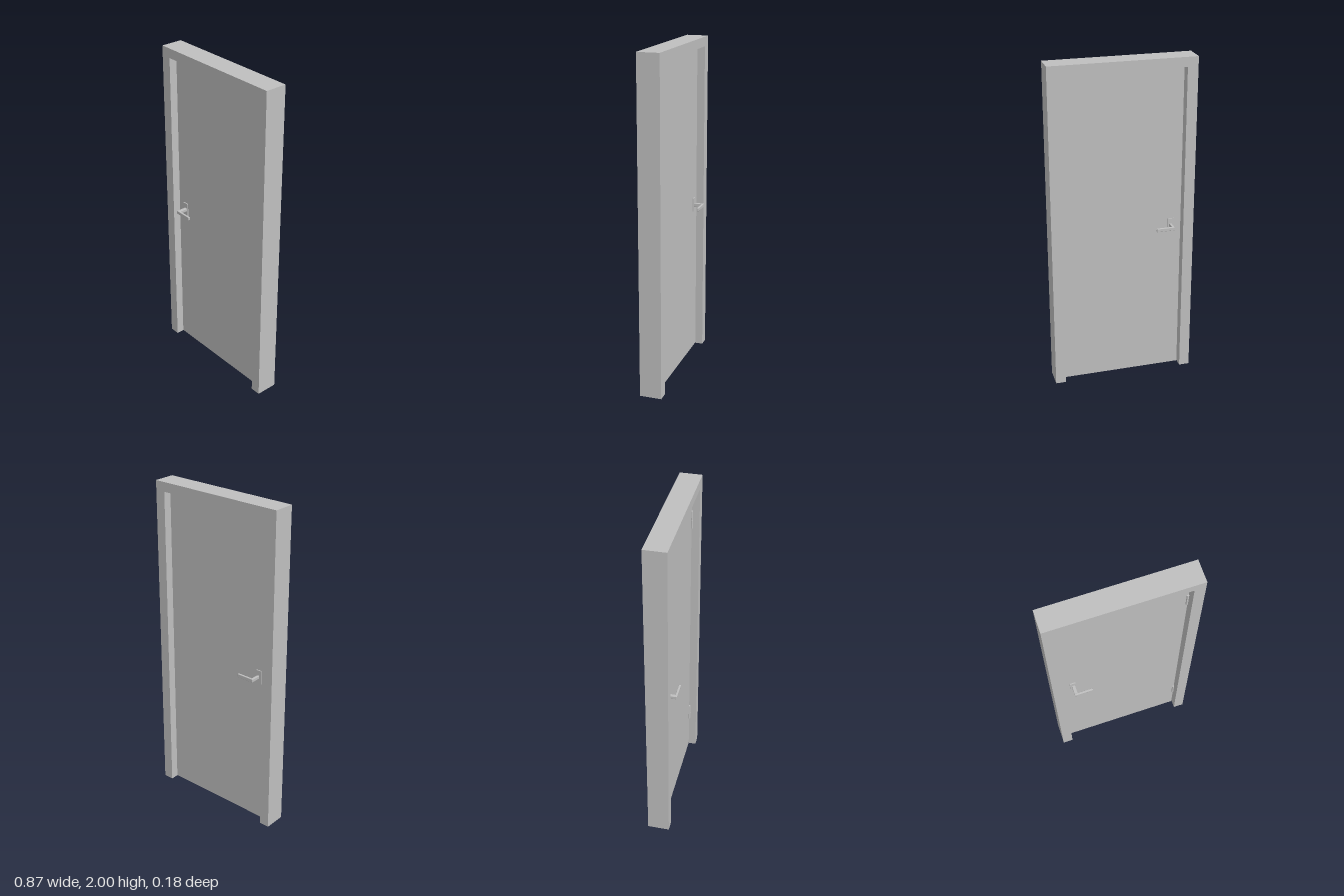
import * as THREE from 'three';
import { RoundedBoxGeometry } from 'three/addons/geometries/RoundedBoxGeometry.js';

export function createModel() {
  const model = new THREE.Group();
  model.name = 'door';

  const grey = new THREE.MeshStandardMaterial({ color: 0xbfbfbf });
  grey.name = 'grey';

  const add = (name, geometry, x, y, z, parent = model) => {
    const mesh = new THREE.Mesh(geometry, grey);
    mesh.name = name;
    mesh.position.set(x, y, z);
    parent.add(mesh);
    return mesh;
  };

  // Frame: one upside-down U, extruded through the wall depth
  const depth = 0.132, outer = 0.433, inner = 0.37, innerTop = 1.943;
  const outline = new THREE.Shape([
    [-outer, 0], [-inner, 0], [-inner, innerTop], [inner, innerTop],
    [inner, 0], [outer, 0], [outer, 2], [-outer, 2],
  ].map(([x, y]) => new THREE.Vector2(x, y)));
  add('frame', new THREE.ExtrudeGeometry(outline, { depth, bevelEnabled: false }), 0, 0, -depth / 2);

  // Door leaf, recessed equally on both sides, with a small gap all round
  const leafDepth = 0.04, leafBottom = 0.005, leafTop = 1.939;
  add('leaf', new THREE.BoxGeometry(0.733, leafTop - leafBottom, leafDepth),
    0, (leafTop + leafBottom) / 2, 0);

  // Handles: plate, neck and lever on each face
  const face = leafDepth / 2, tip = 0.088, leverDepth = 0.0125, handleY = 0.971;
  for (const side of [1, -1]) {
    const handle = new THREE.Group();
    handle.name = side > 0 ? 'frontHandle' : 'backHandle';
    model.add(handle);
    const neckWidth = side > 0 ? 0.02 : 0.015;
    const neckLeft = side > 0 ? -0.312 : -0.31;
    const neckDepth = tip - 0.003 - face;
    add('plate', new THREE.BoxGeometry(0.037, 0.085, 0.006),
      -0.3045, handleY, side * (face + 0.003), handle);
    add('neck', new RoundedBoxGeometry(neckWidth, 0.02, neckDepth, 2, 0.003),
      neckLeft + neckWidth / 2, handleY, side * (face + neckDepth / 2), handle);
    const length = -0.2 - neckLeft;
    add('lever', new RoundedBoxGeometry(length, 0.021, leverDepth, 2, 0.003),
      neckLeft + length / 2, handleY, side * (tip - leverDepth / 2), handle);
  }

  // Hinges: two knuckles each, on the front of the leaf
  for (const y of [1.748, 0.289]) {
    const hinge = new THREE.Group();
    hinge.name = 'hinge';
    model.add(hinge);
    for (const s of [1, -1]) {
      add('knuckle', new THREE.CylinderGeometry(0.0065, 0.0065, 0.054, 16),
        0.361, y + s * 0.028, face + 0.003, hinge);
    }
  }

  return model;
}
